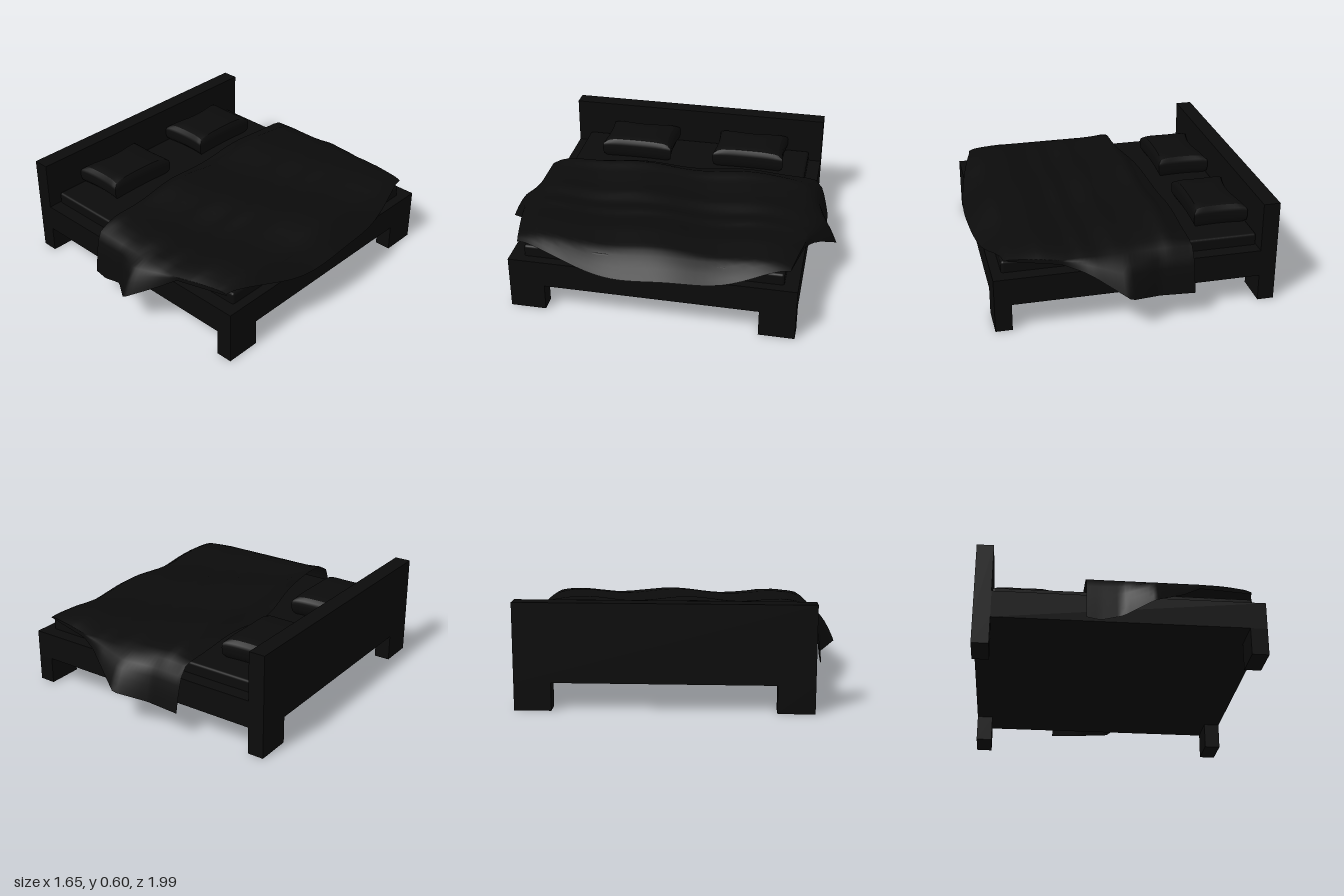
import * as THREE from 'three';
import { RoundedBoxGeometry } from 'three/addons/geometries/RoundedBoxGeometry.js';

const lerp = THREE.MathUtils.lerp;
const black = new THREE.MeshStandardMaterial({ color: 0x0b0b0b });
const cloth = new THREE.MeshStandardMaterial({ color: 0x0b0b0b, side: THREE.DoubleSide });

// Box given by its min and max on each axis
function block(name, [x0, x1], [y0, y1], [z0, z1], radius = 0) {
  const size = [x1 - x0, y1 - y0, z1 - z0];
  const geo = radius ? new RoundedBoxGeometry(...size, 3, radius) : new THREE.BoxGeometry(...size);
  const mesh = new THREE.Mesh(geo, black);
  mesh.name = name;
  mesh.position.set((x0 + x1) / 2, (y0 + y1) / 2, (z0 + z1) / 2);
  return mesh;
}

// Piecewise linear lookup in rows of [key, ...values]
function sample(rows, key, col = 1) {
  if (key <= rows[0][0]) return rows[0][col];
  for (let i = 1; i < rows.length; i++) {
    const a = rows[i - 1], b = rows[i];
    if (key <= b[0]) return lerp(a[col], b[col], (key - a[0]) / (b[0] - a[0]));
  }
  return rows[rows.length - 1][col];
}

// Pillow: rounded block with pinched sides and a soft crown
function pillow(z) {
  const w = 0.32, h = 0.13, d = 0.45;
  const geo = new THREE.BoxGeometry(w, h, d, 14, 6, 14);
  const p = geo.attributes.position;
  for (let i = 0; i < p.count; i++) {
    const u = p.getX(i) / (w / 2), v = p.getY(i) / (h / 2), s = p.getZ(i) / (d / 2);
    const round = 1 - 0.12 * Math.abs(v) ** 4;
    const pinchX = 1 - (u < 0 ? 0.24 : 0.05) * (1 - s * s);
    const pinchZ = 1 - 0.05 * (1 - u * u);
    const crown = 1 - 0.14 * Math.abs(u) ** 6 - 0.22 * Math.abs(s) ** 5;
    p.setXYZ(i, u * w / 2 * round * pinchX, v * h / 2 * (v > 0 ? crown : 1), s * d / 2 * round * pinchZ);
  }
  geo.computeVertexNormals();
  const mesh = new THREE.Mesh(geo, black);
  mesh.name = 'pillow';
  mesh.position.set(-0.57, 0.446, z);
  return mesh;
}

// Hem of the blanket on both long sides: x, z, y
const backHem = [[-0.33, -0.92, 0.15], [-0.13, -0.92, 0.16], [0.05, -1, 0.2], [0.23, -0.91, 0.31],
  [0.3, -0.87, 0.34], [0.4, -0.83, 0.37], [0.7, -0.78, 0.4]];
const frontHem = [[-0.23, 0.89, 0.14], [-0.15, 0.89, 0.125], [-0.03, 0.89, 0.155], [0.13, 1, 0.2],
  [0.3, 0.89, 0.3], [0.4, 0.84, 0.37], [0.7, 0.77, 0.39]];
// Crest of the blanket along the bed: x, y
const crest = [[-0.33, 0.43], [-0.27, 0.45], [-0.21, 0.48], [-0.13, 0.46], [0, 0.445], [0.1, 0.45],
  [0.2, 0.425], [0.28, 0.44], [0.34, 0.427], [0.5, 0.45], [0.67, 0.43], [0.74, 0.385], [0.83, 0.31]];

function blanket() {
  const nx = 40, nTop = 30, nHang = 5, nz = nTop + 2 * nHang;
  const headEdge = z => lerp(-0.33, -0.225, THREE.MathUtils.smoothstep(z, -0.1, 0.65));
  const footEdge = z => 0.825 - 0.19 * Math.min(Math.abs(z), 0.8) ** 2;
  const pos = [], index = [];
  for (let i = 0; i <= nx; i++) {
    for (let j = 0; j <= nz; j++) {
      const s = (j - nHang) / nTop;                       // 0..1 over the top, beyond it hangs
      const rough = lerp(-0.83, 0.83, THREE.MathUtils.clamp(s, 0, 1));
      const x = lerp(headEdge(rough), footEdge(rough), i / nx);
      const zb = Math.max(sample(backHem, x), -0.83), zf = Math.min(sample(frontHem, x), 0.84);
      let z = lerp(zb, zf, THREE.MathUtils.clamp(s, 0, 1));
      const q = Math.min(1, Math.abs(z) / 0.84);
      const wave = 0.014 * (Math.sin(z * 9 + x * 3) - 1) * (1 - q ** 4);
      let y = Math.max(sample(crest, x) + wave, x < 0.68 ? 0.392 : 0);
      y = lerp(y, Math.min(y, 0.395), q ** 8);
      if (s < 0 || s > 1) {                               // falling sides
        const hem = s < 0 ? backHem : frontHem;
        const k = (s < 0 ? nHang - j : j - nHang - nTop) / nHang;
        z = lerp(z, sample(hem, x), Math.sqrt(k));
        y = lerp(y, sample(hem, x, 2), k);
      }
      pos.push(x, y, z);
      if (i < nx && j < nz) {
        const a = i * (nz + 1) + j, b = a + nz + 1;
        index.push(a, a + 1, b, b, a + 1, b + 1);
      }
    }
  }
  const geo = new THREE.BufferGeometry();
  geo.setAttribute('position', new THREE.Float32BufferAttribute(pos, 3));
  geo.setIndex(index);
  geo.computeVertexNormals();
  const mesh = new THREE.Mesh(geo, cloth);
  mesh.name = 'blanket';
  return mesh;
}

export function createModel() {
  const bed = new THREE.Group();
  bed.name = 'bed';
  const full = [-0.83, 0.81], head = [-0.83, -0.735], foot = [0.675, 0.77];

  // Frame
  bed.add(block('headboard', head, [0.157, 0.6], full));
  bed.add(block('platform', [-0.735, 0.77], [0.157, 0.315], full));
  for (const z of [[-0.83, -0.625], [0.605, 0.81]]) {
    bed.add(block('headLeg', head, [0, 0.157], z));
    bed.add(block('footLeg', foot, [0, 0.157], z));
  }

  // Bedding
  bed.add(block('mattress', [-0.735, 0.715], [0.29, 0.382], [-0.75, 0.73], 0.015));
  bed.add(pillow(-0.385), pillow(0.335));
  bed.add(blanket());
  return bed;
}
